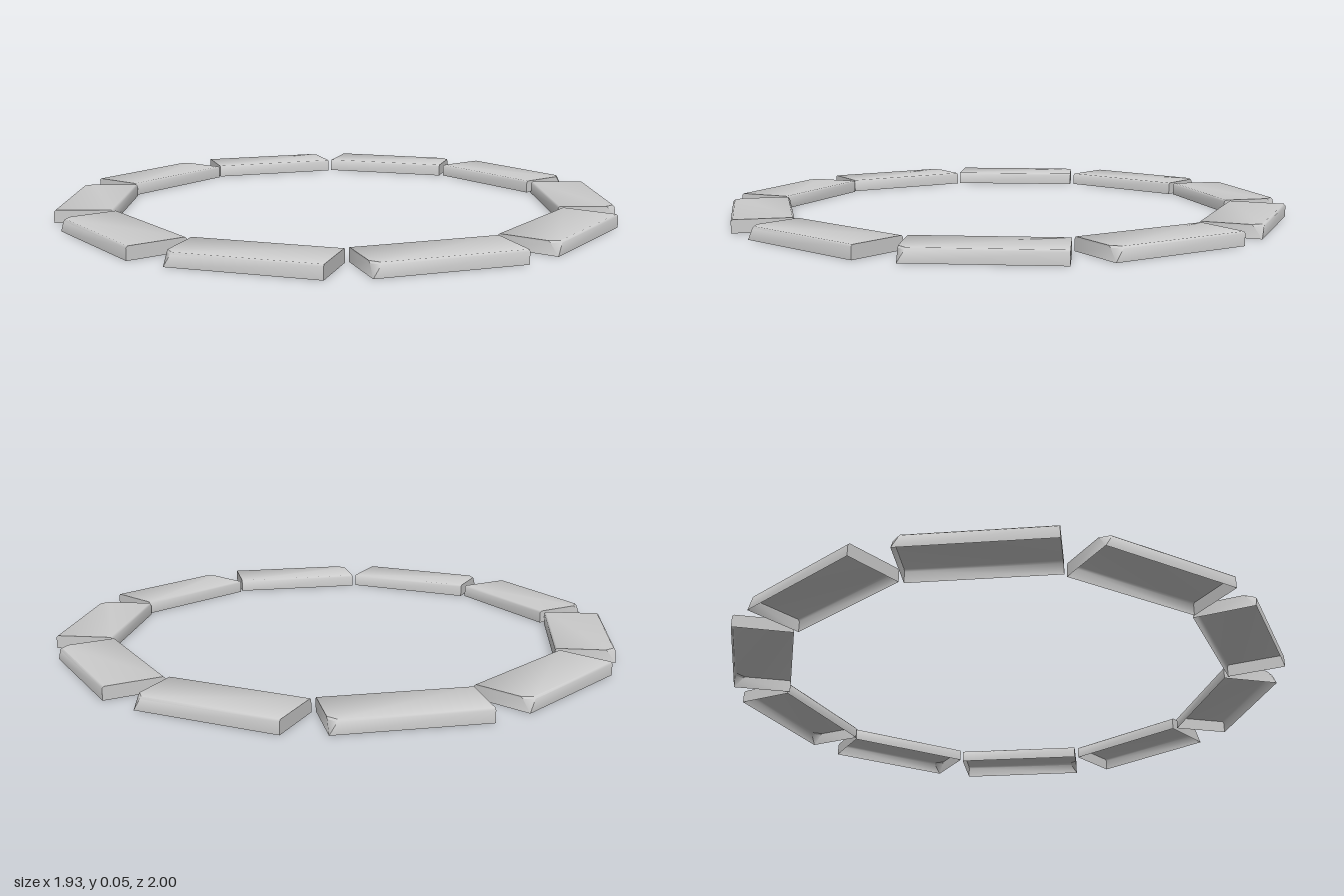
import * as THREE from 'three';
import { toCreasedNormals } from 'three/addons/utils/BufferGeometryUtils.js';

const COUNT = 10, HEIGHT = 0.045;
const INNER = 0.765, OUTER = 0.967;   // radial extent of a tile
const BACK = -0.2625, FRONT = 0.2225; // tangential extent, slightly off-centre

// One level of the tile: a rectangle whose outer front corner is cut by `cut`
function ring(y, inset, cut) {
  const x0 = INNER + inset, x1 = OUTER - inset, z0 = BACK, z1 = FRONT;
  return [
    [x0, z0], [x0, z1], [x1 - cut * 1.15, z1], [x1, z1 - cut], [x1, z0],
  ].map(([x, z]) => new THREE.Vector3(x, y, z));
}

// Thin shell, open underneath, with softened long edges and one slanted corner
function tileGeometry() {
  const rings = [ring(0, 0, 0), ring(HEIGHT - 0.006, 0, 0.024), ring(HEIGHT, 0.006, 0.025)];
  const pos = [];
  const tri = (a, b, c) => {
    const area = new THREE.Triangle(a, b, c).getArea();
    if (area > 1e-9) for (const p of [a, b, c]) pos.push(p.x, p.y, p.z);
  };
  for (let r = 0; r < rings.length - 1; r++) {
    const low = rings[r], high = rings[r + 1];
    for (let i = 0; i < low.length; i++) {
      const j = (i + 1) % low.length;
      tri(low[i], low[j], high[j]);
      tri(low[i], high[j], high[i]);
    }
  }
  const top = rings[rings.length - 1];
  for (let i = 1; i < top.length - 1; i++) tri(top[0], top[i], top[i + 1]);
  const geometry = new THREE.BufferGeometry();
  geometry.setAttribute('position', new THREE.Float32BufferAttribute(pos, 3));
  return toCreasedNormals(geometry, THREE.MathUtils.degToRad(50));
}

export function createModel() {
  const group = new THREE.Group();
  group.name = 'tileRing';
  const material = new THREE.MeshStandardMaterial({ color: 0xcccccc, side: THREE.DoubleSide });
  const geometry = tileGeometry();
  // Ten equal tiles around the circle
  for (let i = 0; i < COUNT; i++) {
    const tile = new THREE.Mesh(geometry, material);
    tile.name = `tile${i + 1}`;
    tile.rotation.y = (i / COUNT) * Math.PI * 2;
    group.add(tile);
  }
  return group;
}
